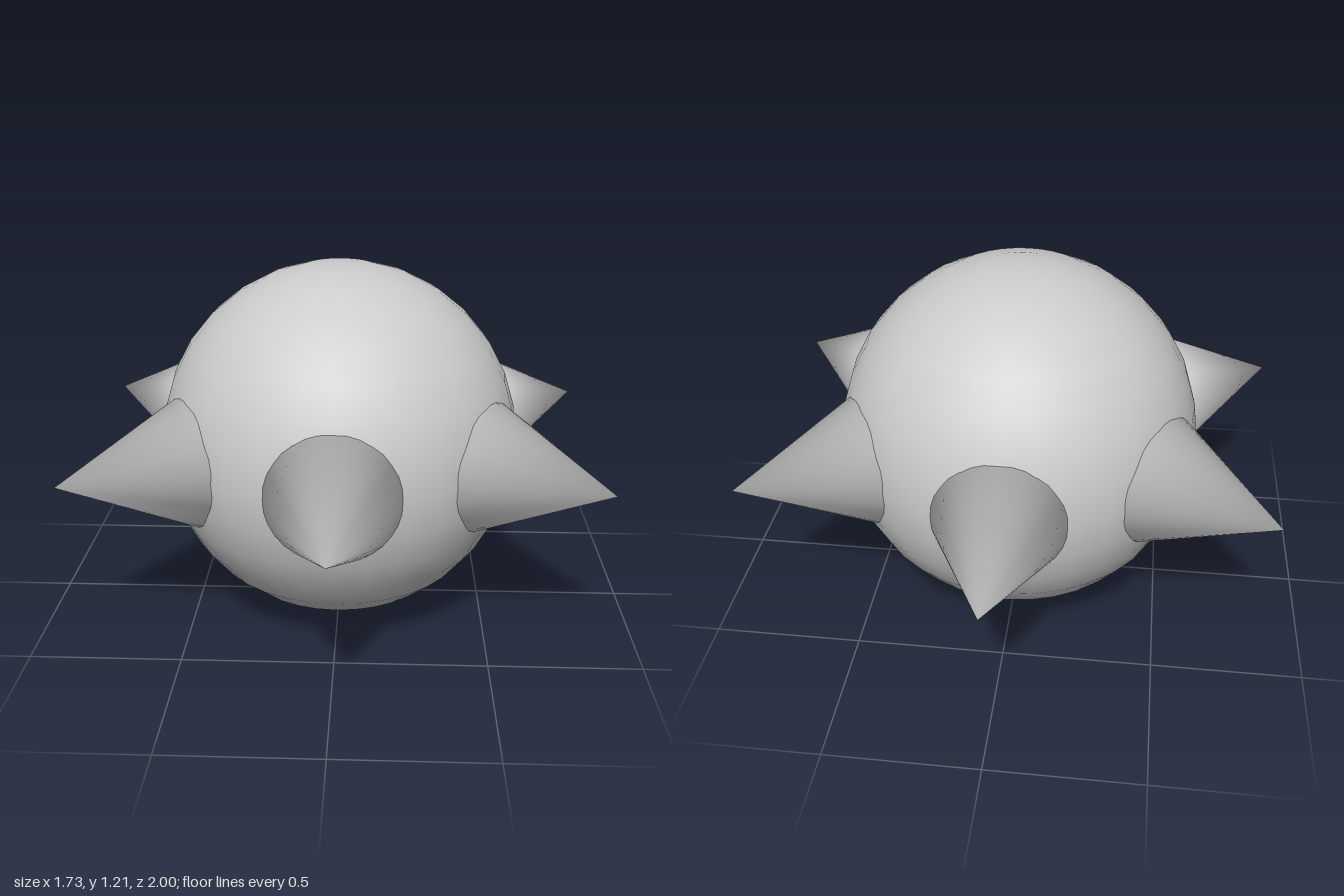
import * as THREE from 'three';

const BODY_R = 0.607;
const SPIKE_R = 0.245;
const SPIKE_BASE = 0.5; // distance of the spike's base from the centre
const SPIKE_TIP = 1;

// Cone with soft shading: normals turn from the axis at the tip to outward at the rim
function spikeGeometry() {
  const height = SPIKE_TIP - SPIKE_BASE;
  const geo = new THREE.ConeGeometry(SPIKE_R, height, 32, 1);
  const pos = geo.attributes.position;
  const nor = geo.attributes.normal;
  for (let i = 0; i < pos.count; i++) {
    const x = pos.getX(i) / SPIKE_R;
    const z = pos.getZ(i) / SPIKE_R;
    if (pos.getY(i) > 0) nor.setXYZ(i, 0, 1, 0);
    else if (Math.hypot(x, z) > 0.5) nor.setXYZ(i, x * 0.87, -0.48, z * 0.87);
  }
  // Lay the cone along +z with its base at the given distance
  geo.rotateX(Math.PI / 2);
  geo.translate(0, 0, SPIKE_BASE + height / 2);
  return geo;
}

export function createModel() {
  const model = new THREE.Group();
  model.name = 'spikedBall';
  const material = new THREE.MeshStandardMaterial({ color: 0xcccccc });

  // Round body
  const body = new THREE.Mesh(new THREE.SphereGeometry(BODY_R, 32, 16), material);
  body.name = 'body';
  body.position.y = BODY_R;
  model.add(body);

  // Six spikes around the equator
  const spikes = new THREE.Group();
  spikes.name = 'spikes';
  spikes.position.y = BODY_R;
  const geo = spikeGeometry();
  for (let i = 0; i < 6; i++) {
    const spike = new THREE.Mesh(geo, material);
    spike.name = `spike${i + 1}`;
    spike.rotation.y = (i * Math.PI) / 3;
    spikes.add(spike);
  }
  model.add(spikes);

  return model;
}
